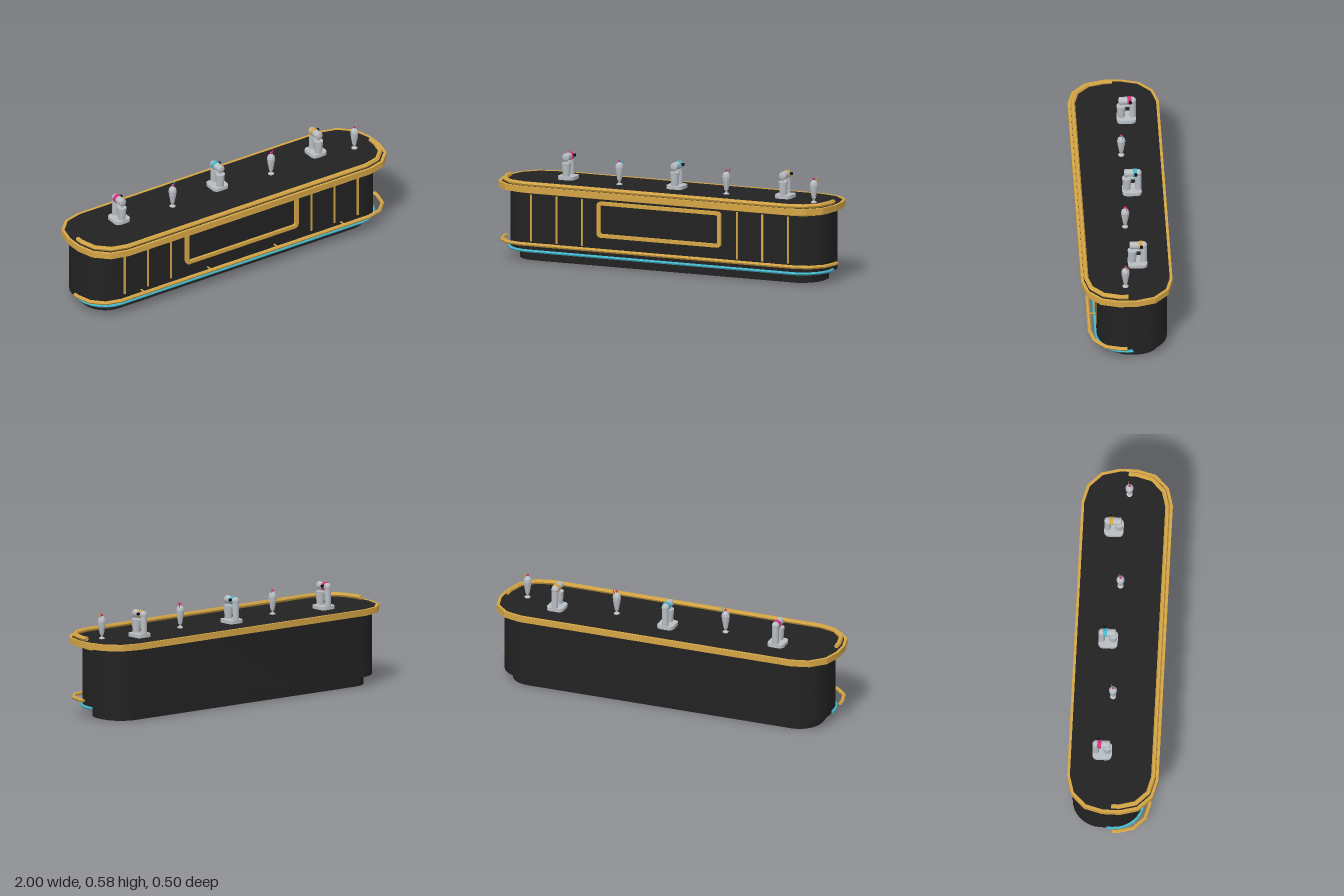
import * as THREE from 'three';
import { toCreasedNormals } from 'three/addons/utils/BufferGeometryUtils.js';

const mat = (name, color, opts = {}) => {
  const m = new THREE.MeshStandardMaterial({ color, ...opts });
  m.name = name;
  return m;
};

// Corner points of a rounded rectangle, anticlockwise
function roundedPoints(hx, hy, r, segs) {
  const pts = [];
  [[1, 1], [-1, 1], [-1, -1], [1, -1]].forEach(([sx, sy], q) => {
    for (let i = 0; i <= segs; i++) {
      const a = (q + i / segs) * Math.PI / 2;
      pts.push(new THREE.Vector2(sx * (hx - r) + r * Math.cos(a), sy * (hy - r) + r * Math.sin(a)));
    }
  });
  return pts;
}

// Flat slab or ring with a rounded outline, lying between y0 and y1
function slab(outer, y0, y1, z = 0, inner = null) {
  const shape = new THREE.Shape(outer);
  if (inner) shape.holes.push(new THREE.Path(inner));
  const g = new THREE.ExtrudeGeometry(shape, { depth: y1 - y0, bevelEnabled: false });
  g.rotateX(Math.PI / 2).translate(0, y1, z);
  return toCreasedNormals(g, 0.35);
}

// Path round the front half of the counter: right end, front, left end
function frontPath(hx, zBack, zFront, r, segs) {
  const half = [new THREE.Vector2(hx, zBack)];
  for (let i = 0; i <= segs; i++) {
    const a = i / segs * Math.PI / 2;
    half.push(new THREE.Vector2(hx - r + r * Math.cos(a), zFront - r + r * Math.sin(a)));
  }
  return [...half, ...half.slice().reverse().map(p => new THREE.Vector2(-p.x, p.y))];
}

// Hexagonal rail with mitred corners, swept along a level path
function rail(path, y, r, sides = 6) {
  const pos = [], idx = [], n = path.length;
  path.forEach((p, i) => {
    const a = p.clone().sub(path[Math.max(i - 1, 0)]).normalize();
    const b = path[Math.min(i + 1, n - 1)].clone().sub(p).normalize();
    const d = a.clone().add(b).normalize();
    const miter = Math.max(d.dot(i ? a : b), 0.5);
    for (let k = 0; k < sides; k++) {
      const t = k / sides * Math.PI * 2, o = Math.cos(t) * r / miter;
      pos.push(p.x + d.y * o, y + Math.sin(t) * r, p.y - d.x * o);
    }
  });
  for (let i = 0; i < n - 1; i++) for (let k = 0; k < sides; k++) {
    const a = i * sides + k, b = i * sides + (k + 1) % sides;
    idx.push(a, b, a + sides, b, b + sides, a + sides);
  }
  const e = (n - 1) * sides;
  for (let k = 1; k < sides - 1; k++) idx.push(0, k + 1, k, e, e + k, e + k + 1);
  const g = new THREE.BufferGeometry();
  g.setAttribute('position', new THREE.Float32BufferAttribute(pos, 3));
  g.setIndex(idx);
  const flat = g.toNonIndexed();
  flat.computeVertexNormals();
  return flat;
}

export function createModel() {
  const model = new THREE.Group();
  model.name = 'barCounter';
  const black = mat('black', 0x222222);
  const gold = mat('gold', 0xd4a545, { side: THREE.DoubleSide });
  const cyan = mat('cyan', 0x45b8cc, { side: THREE.DoubleSide });
  const silver = mat('silver', 0xb9bec3);
  const pink = mat('pink', 0xd8307c);
  const dark = mat('darkKnob', 0x111317);

  const add = (parent, name, geo, material, x = 0, y = 0, z = 0) => {
    const m = new THREE.Mesh(geo, material);
    m.name = name;
    m.position.set(x, y, z);
    parent.add(m);
    return m;
  };

  // Plinth, body and counter top
  add(model, 'plinth', slab(roundedPoints(0.905, 0.15, 0.13, 8), 0, 0.06, -0.035), black);
  add(model, 'body', slab(roundedPoints(0.95, 0.1925, 0.16, 8), 0.054, 0.405, -0.0275), black);
  const inner = roundedPoints(0.985, 0.235, 0.19, 3);
  add(model, 'counterTop', slab(inner, 0.402, 0.433), black);
  add(model, 'counterEdge', slab(roundedPoints(1, 0.25, 0.2, 3), 0.401, 0.435, 0, inner), gold);

  // Rails and trims round the front half
  add(model, 'armRail', rail(frontPath(0.968, 0, 0.222, 0.18, 3), 0.446, 0.013), gold);
  add(model, 'footRail', rail(frontPath(0.989, 0.005, 0.2045, 0.17, 3), 0.105, 0.0105), gold);
  add(model, 'glowStrip', rail(frontPath(0.953, -0.0275, 0.168, 0.16, 6), 0.061, 0.0087), cyan);
  add(model, 'upperTrim', rail(frontPath(0.951, -0.0275, 0.166, 0.16, 6), 0.386, 0.0045), gold);
  for (const x of [-0.66, -0.22, 0.22, 0.66]) {
    const geo = new THREE.CylinderGeometry(0.005, 0.005, 0.045, 6).rotateX(Math.PI / 2);
    add(model, 'footRailBracket', geo, gold, x, 0.105, 0.182);
  }

  // Front panel strips and frame
  for (const s of [-1, 1]) for (const x of [0.465, 0.617, 0.77]) {
    add(model, 'panelStrip', new THREE.BoxGeometry(0.011, 0.262, 0.008), gold, s * x, 0.245, 0.166);
  }
  const frame = new THREE.Shape(roundedPoints(0.372, 0.1, 0.022, 4));
  frame.holes.push(new THREE.Path(roundedPoints(0.352, 0.08, 0.01, 4)));
  add(model, 'panelFrame', new THREE.ExtrudeGeometry(frame, { depth: 0.016, bevelEnabled: false }),
    gold, 0, 0.271, 0.164);

  // Drink mixers
  [[-0.65, pink], [0, cyan], [0.65, gold]].forEach(([x, accent]) => {
    const mixer = new THREE.Group();
    mixer.name = 'mixer';
    mixer.position.set(x, 0.433, 0);
    model.add(mixer);
    add(mixer, 'mixerBase', slab(roundedPoints(0.048, 0.053, 0.025, 3), 0, 0.019, -0.065), silver);
    add(mixer, 'mixerColumn', new THREE.CylinderGeometry(0.018, 0.018, 0.11, 16), silver, 0, 0.072, -0.1);
    add(mixer, 'mixerHead', new THREE.CylinderGeometry(0.021, 0.021, 0.073, 16).rotateX(Math.PI / 2),
      silver, 0, 0.125, -0.0635);
    add(mixer, 'headBack', new THREE.SphereGeometry(0.021, 16, 10), silver, 0, 0.125, -0.098);
    add(mixer, 'headFront', new THREE.SphereGeometry(0.021, 16, 10).scale(1, 1, 0.3), silver, 0, 0.125, -0.027);
    add(mixer, 'headBand', new THREE.CylinderGeometry(0.0235, 0.0235, 0.022, 16).rotateX(Math.PI / 2),
      accent, 0, 0.125, -0.081);
    add(mixer, 'knob', new THREE.CylinderGeometry(0.008, 0.008, 0.014, 10).rotateZ(Math.PI / 2),
      dark, 0.026, 0.13, -0.086);
    add(mixer, 'mixingCup', new THREE.CylinderGeometry(0.026, 0.02, 0.073, 16), silver, 0, 0.056, -0.037);
    add(mixer, 'spindle', new THREE.CylinderGeometry(0.005, 0.005, 0.03, 8), silver, 0, 0.1, -0.037);
    add(mixer, 'cupHolder', new THREE.BoxGeometry(0.016, 0.008, 0.035), silver, 0, 0.09, -0.07);
  });

  // Fluted glasses with cream, cherry and straw
  const profile = [[0, 0], [0.017, 0], [0.017, 0.004], [0.006, 0.011], [0.006, 0.018], [0.011, 0.024],
    [0.02, 0.072], [0.023, 0.098], [0.02, 0.112], [0.012, 0.121], [0, 0.128]];
  const glassGeo = new THREE.LatheGeometry(profile.map(p => new THREE.Vector2(...p)), 10).toNonIndexed();
  glassGeo.computeVertexNormals();
  [[-0.325, -0.022, cyan], [0.32, -0.013, pink], [0.855, 0.01, gold]].forEach(([x, z, accent]) => {
    const glass = new THREE.Group();
    glass.name = 'sundaeGlass';
    glass.position.set(x, 0.433, z);
    model.add(glass);
    add(glass, 'glassBowl', glassGeo, silver);
    add(glass, 'cherry', new THREE.SphereGeometry(0.007, 10, 8), pink, 0, 0.133, 0);
    const straw = add(glass, 'straw', new THREE.CylinderGeometry(0.0025, 0.0025, 0.045, 6), accent, 0.012, 0.122, -0.008);
    straw.rotation.z = -0.3;
  });
  return model;
}
